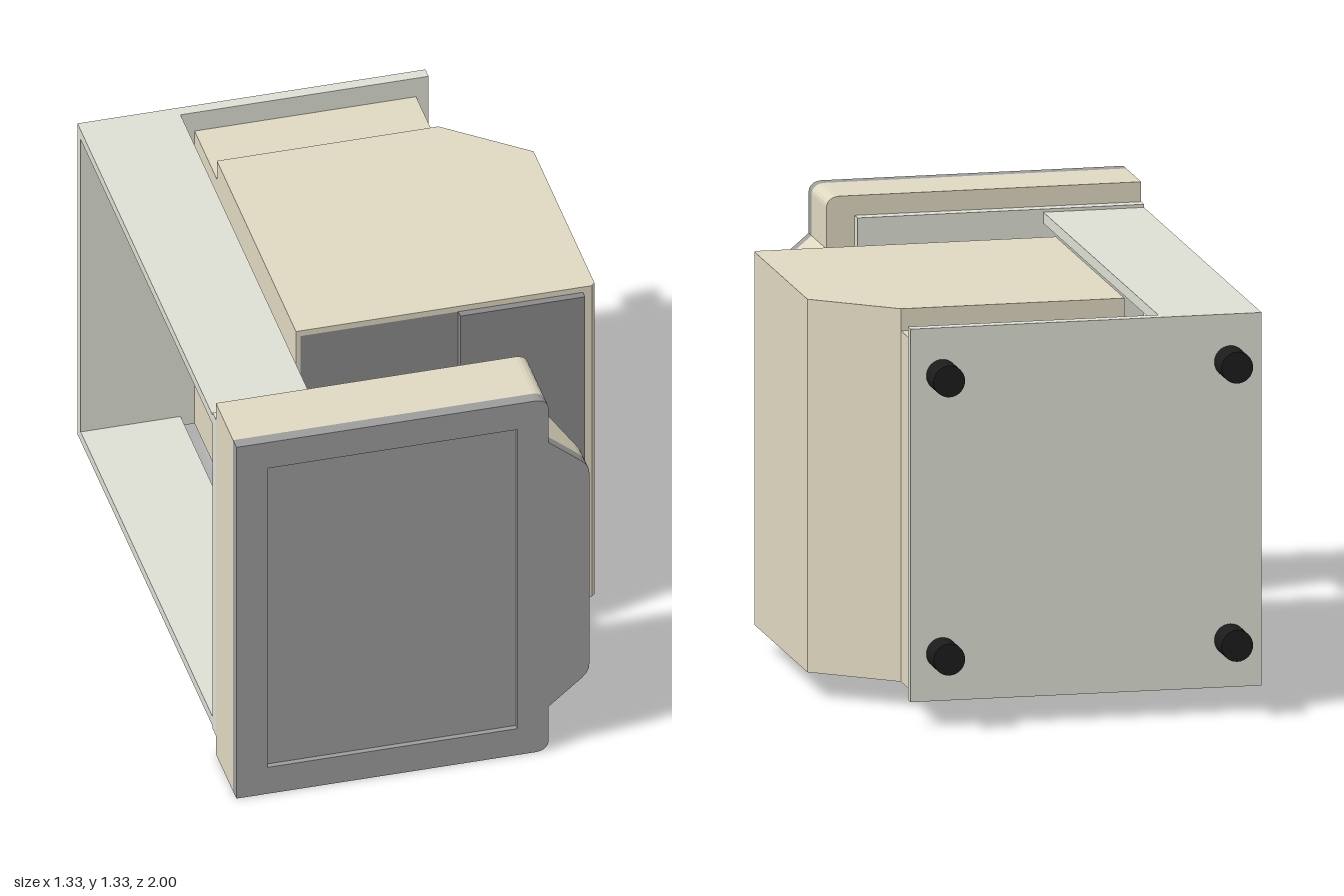
import * as THREE from 'three';
import { ConvexGeometry } from 'three/addons/geometries/ConvexGeometry.js';

const mat = (color) => new THREE.MeshStandardMaterial({ color, flatShading: true });
const cream = mat(0xdfd8c0), pale = mat(0xdedfd4), grey = mat(0x9c9c9c), darkGrey = mat(0x8a8a8a);
const black = new THREE.MeshStandardMaterial({ color: 0x1c1c1c });

const H = 1.333; // height of the front bezel
const rect = (x0, x1, y0, y1) => [[x0, y0], [x1, y0], [x1, y1], [x0, y1]];
const toPoints = (list) => list.map(([x, y]) => new THREE.Vector2(x, y));
// Mirrors a run of points about mid height, giving bottom then top order
const mirrorY = (upper) => [...upper.map(([x, y]) => [x, H - y]), ...[...upper].reverse()];

export function createModel() {
  const root = new THREE.Group();
  root.name = 'cabinet';

  const add = (name, geometry, material) => {
    const mesh = new THREE.Mesh(geometry, material);
    mesh.name = name;
    root.add(mesh);
    return mesh;
  };
  const box = (name, material, x0, x1, y0, y1, z0, z1) =>
    add(name, new THREE.BoxGeometry(x1 - x0, y1 - y0, z1 - z0), material)
      .position.set((x0 + x1) / 2, (y0 + y1) / 2, (z0 + z1) / 2);
  // Outline in x and y, pushed along z
  const slab = (name, material, outline, z0, z1, hole) => {
    const shape = new THREE.Shape(toPoints(outline));
    if (hole) shape.holes.push(new THREE.Path(toPoints(hole)));
    const g = new THREE.ExtrudeGeometry(shape, { depth: z1 - z0, bevelEnabled: false });
    return add(name, g.translate(0, 0, z0), material);
  };
  // Outline in x and z, pushed along y
  const prism = (name, material, plan, y0, y1) => {
    const shape = new THREE.Shape(toPoints(plan.map(([x, z]) => [x, -z])));
    const g = new THREE.ExtrudeGeometry(shape, { depth: y1 - y0, bevelEnabled: false });
    return add(name, g.rotateX(-Math.PI / 2).translate(0, y0, 0), material);
  };

  // Front panel: cream body with rounded right corners
  const corner = [];
  for (let i = 0; i <= 5; i++) {
    const a = Math.PI / 2 * (1 - i / 5);
    corner.push([0.295 + 0.04 * Math.cos(a), H - 0.033 + 0.033 * Math.sin(a)]);
  }
  const grip = [[0.335, 1.168], [0.36, 1.147], [0.442, 1.078], [0.456, 1.062], [0.464, 1.045], [0.467, 1.02]];
  const plainOutline = [[-0.665, 0], ...mirrorY(corner), [-0.665, H]];
  slab('frontPanelBody', cream, plainOutline, 0.755, 0.96);

  // Side grip, sloping back towards the panel
  const gripPoints = [];
  for (const [x, y] of mirrorY([[0.3, 1.168], ...grip])) {
    for (const z of x > 0.361 ? [0.905, 0.96] : [0.755, 0.96]) gripPoints.push(new THREE.Vector3(x, y, z));
  }
  add('sideGrip', new ConvexGeometry(gripPoints), cream);

  // Grey front bezel with a shallow recessed field
  const lower = corner.map(([x, y]) => [x, H - y]);
  const bezelOutline = [[-0.665, 0], ...lower, ...mirrorY(grip), ...[...corner].reverse(), [-0.665, H]];
  slab('frontBezel', grey, bezelOutline, 0.96, 1, rect(-0.565, 0.235, 0.1, 1.235));
  box('frontInset', grey, -0.565, 0.235, 0.1, 1.235, 0.96, 0.982);

  // Frame: panel backing, two beams and rear plate
  box('panelBacking', pale, -0.665, 0.245, 0.07, 1.27, 0.715, 0.755);
  box('topBeam', pale, -0.665, -0.345, 1.225, 1.26, -0.862, 0.715);
  box('bottomBeam', pale, -0.665, -0.345, 0.08, 0.115, -0.862, 0.715);
  box('rearPlate', pale, -0.665, 0.45, 0.08, 1.26, -0.9, -0.862);

  // Inner housing with a chamfered rear corner and a narrower neck
  prism('housing', cream, [[-0.3, 0.24], [0.66, 0.24], [0.66, -0.39], [0.41, -0.595], [-0.3, -0.595]], 0.08, 1.26);
  box('housingNeck', cream, -0.3, 0.41, 0.08, 1.19, -0.862, -0.595);
  slab('housingRim', cream, rect(-0.3, 0.64, 0.08, 1.26), 0.24, 0.35, rect(-0.285, 0.62, 0.1, 1.24));
  prism('housingEdge', cream, [[0.64, 0.24], [0.64, 0.35], [0.648, 0.35], [0.66, 0.338], [0.66, 0.24]], 0.08, 1.26);

  // Housing face with a recess, and the raised door beside it
  slab('housingFace', darkGrey, rect(-0.285, 0.62, 0.1, 1.24), 0.24, 0.35, rect(-0.2, 0.22, 0.27, 1.03));
  box('recessBack', darkGrey, -0.2, 0.22, 0.27, 1.03, 0.235, 0.245);
  box('door', darkGrey, 0.22, 0.62, 0.1, 1.24, 0.35, 0.375);

  // Four round feet on the rear plate
  for (const x of [-0.565, 0.35]) {
    for (const y of [0.23, 1.11]) {
      const foot = add('rearFoot', new THREE.CylinderGeometry(0.05, 0.05, 0.1, 32), black);
      foot.rotation.x = Math.PI / 2;
      foot.position.set(x, y, -0.95);
    }
  }
  return root;
}
